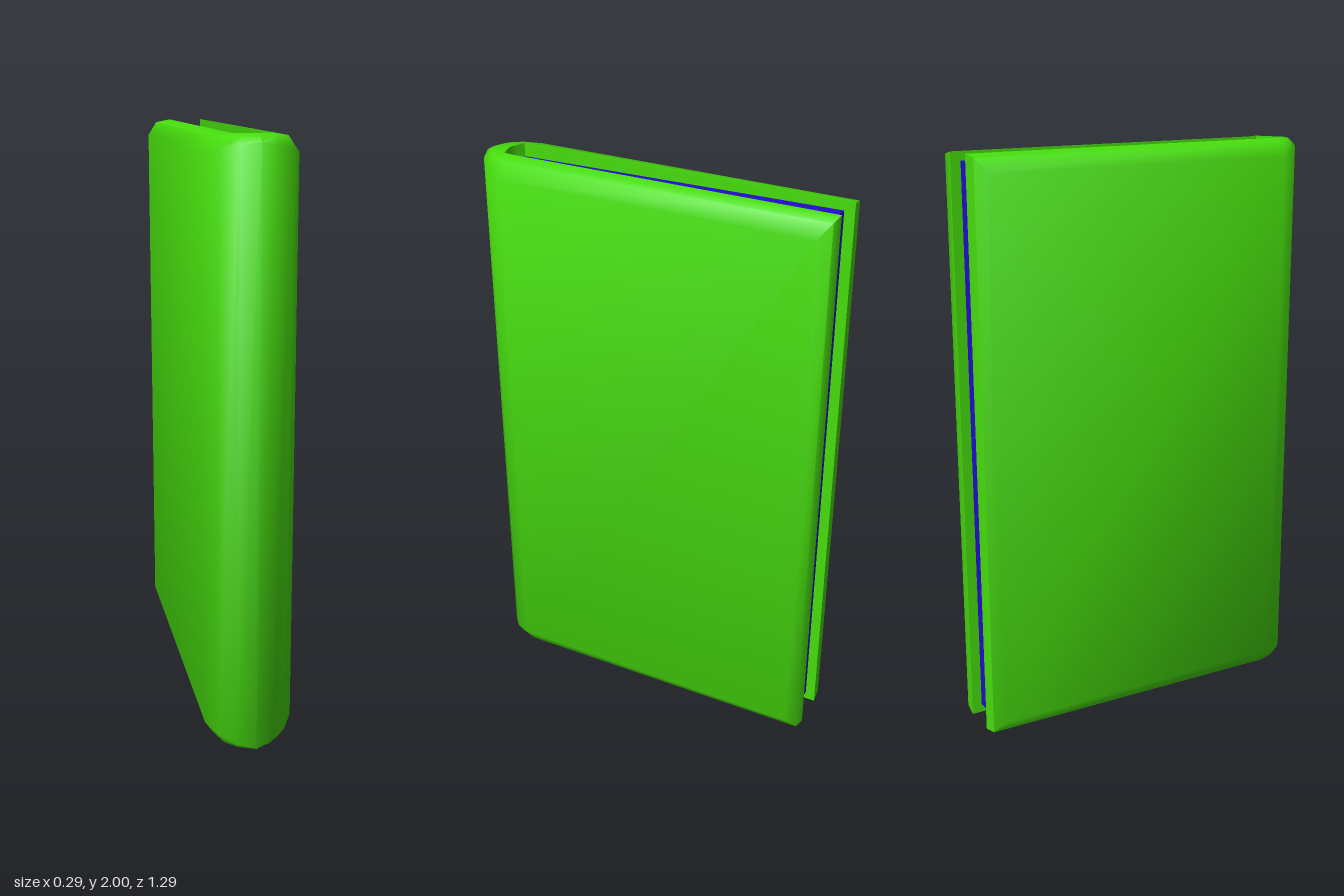
import * as THREE from 'three';
import { toCreasedNormals } from 'three/addons/utils/BufferGeometryUtils.js';

// Half plans of the cover, from the open back edge round to the spine centre: [x, topY, z]
const INNER = [[0.06, 1.985, -0.645], [0.06, 1.998, 0.5], [0.06, 2, 0.535], [0.03, 2, 0.546], [0, 2, 0.555]];
const MIDDLE = [[0.112, 1.975, -0.64], [0.115, 1.99, 0.5], [0.092, 1.993, 0.56], [0.052, 1.996, 0.595], [0, 1.997, 0.612]];
const OUTER = [[0.147, 1.93, -0.605], [0.147, 1.94, 0.51], [0.112, 1.955, 0.575], [0.06, 1.97, 0.62], [0, 1.98, 0.645]];

// Mirror a half plan into the full U
function fullPlan(half) {
  return [...half, ...half.slice(0, -1).reverse().map(([x, y, z]) => [-x, y, z])];
}

// Loft a rounded-edge section along the U, closed by a cap at each end
function coverGeometry() {
  const plans = [INNER, MIDDLE, OUTER].map(fullPlan);
  const stations = plans[0].length;
  const positions = [];
  const index = [];
  for (let i = 0; i < stations; i++) {
    for (const k of [0, 1, 2]) positions.push(...plans[k][i]);
    for (const k of [2, 1, 0]) {
      const [x, y, z] = plans[k][i];
      positions.push(x, 2 - y, z);
    }
  }
  const quad = (a, b, c, d) => index.push(a, b, c, a, c, d);
  for (let i = 0; i < stations - 1; i++) {
    for (let k = 0; k < 6; k++) {
      const n = (k + 1) % 6;
      quad(i * 6 + k, i * 6 + 6 + k, i * 6 + 6 + n, i * 6 + n);
    }
  }
  quad(0, 1, 4, 5);
  quad(1, 2, 3, 4);
  const e = (stations - 1) * 6;
  quad(e + 5, e + 4, e + 1, e);
  quad(e + 4, e + 3, e + 2, e + 1);

  const geometry = new THREE.BufferGeometry();
  geometry.setAttribute('position', new THREE.Float32BufferAttribute(positions, 3));
  geometry.setIndex(index);
  return toCreasedNormals(geometry, 1.15);
}

// Page block with a shallow point that fits the inside of the spine
function pagesGeometry() {
  const shape = new THREE.Shape([
    [-0.06, 0.61], [-0.06, -0.535], [0, -0.555], [0.06, -0.535], [0.06, 0.61],
  ].map(([x, y]) => new THREE.Vector2(x, y)));
  const geometry = new THREE.ExtrudeGeometry(shape, { depth: 1.91, bevelEnabled: false });
  geometry.rotateX(-Math.PI / 2);
  geometry.translate(0, 0.045, 0);
  return geometry;
}

export function createModel() {
  const group = new THREE.Group();
  group.name = 'book';

  const cover = new THREE.Mesh(coverGeometry(), new THREE.MeshStandardMaterial({ color: 0x47dd0d }));
  cover.name = 'cover';

  const pages = new THREE.Mesh(pagesGeometry(), new THREE.MeshStandardMaterial({ color: 0x220bcc }));
  pages.name = 'pages';

  group.add(cover, pages);
  return group;
}
